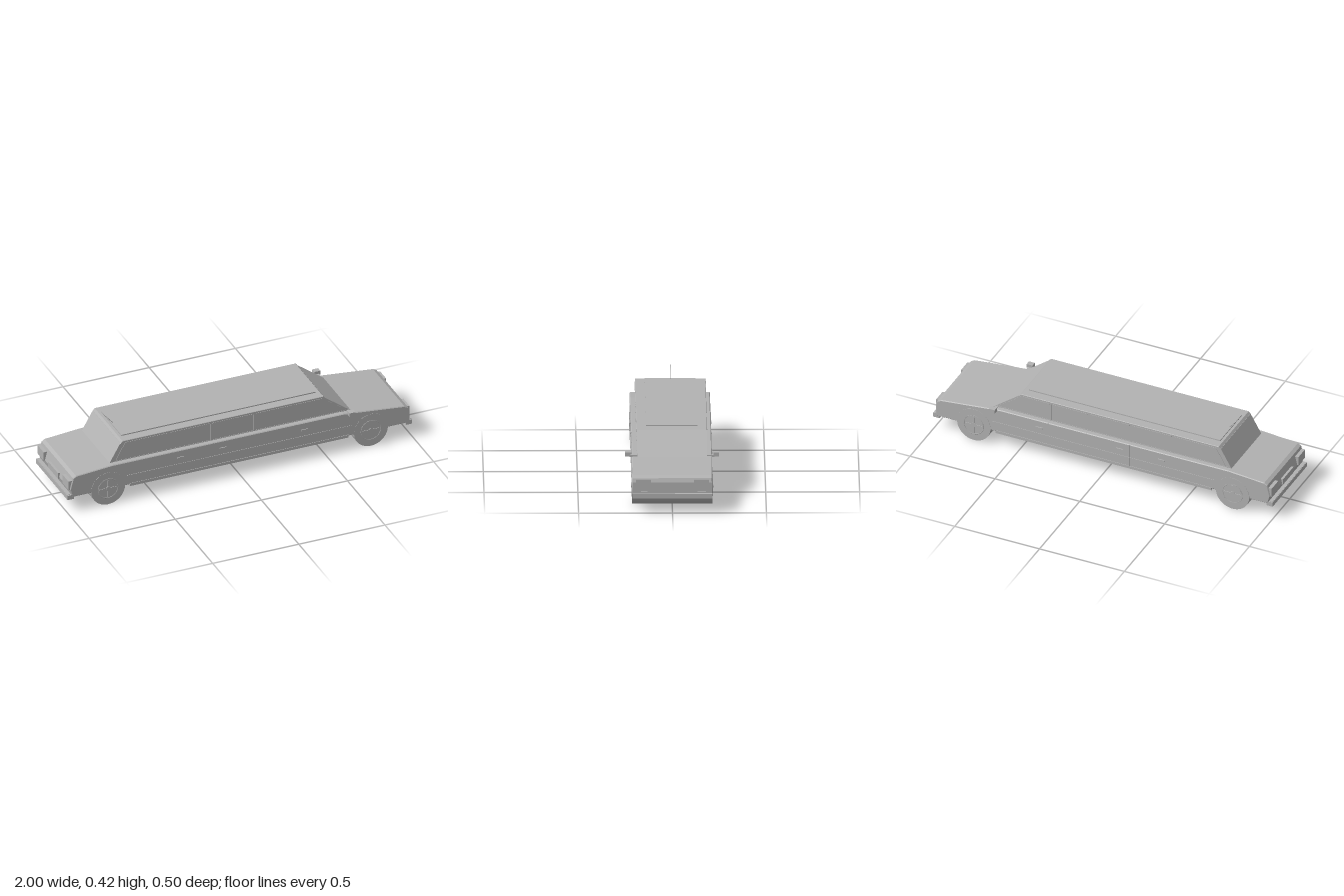
import * as THREE from 'three';

export function createModel() {
  const car = new THREE.Group();
  car.name = 'limousine';
  const paint = new THREE.MeshStandardMaterial({ color: 0xb2b2b2 });
  paint.name = 'grey';

  const add = (name, geometry) => {
    const mesh = new THREE.Mesh(geometry, paint);
    mesh.name = name;
    car.add(mesh);
    return mesh;
  };
  // Box from its limits on each axis
  const box = (name, x0, x1, y0, y1, z0, z1) => {
    const g = new THREE.BoxGeometry(x1 - x0, y1 - y0, Math.abs(z1 - z0));
    return add(name, g.translate((x0 + x1) / 2, (y0 + y1) / 2, (z0 + z1) / 2));
  };
  // Side outline extruded across the car between z0 and z1, with chamfered edges
  const slab = (name, points, z0, z1, chamfer = 0) => {
    const shape = new THREE.Shape(points.map(([x, y]) => new THREE.Vector2(x, y)));
    const g = new THREE.ExtrudeGeometry(shape, {
      depth: z1 - z0 - 2 * chamfer, bevelEnabled: chamfer > 0, bevelSegments: 1,
      bevelSize: chamfer, bevelThickness: chamfer, bevelOffset: -chamfer,
    });
    return add(name, g.translate(0, 0, z0 + chamfer));
  };
  // Thin closed outline standing on a side of the car
  const edge = (name, a, b, z, width = 0.003) => {
    const dx = b[0] - a[0], dy = b[1] - a[1];
    const g = new THREE.BoxGeometry(Math.hypot(dx, dy), width, 0.004);
    g.rotateZ(Math.atan2(dy, dx));
    return add(name, g.translate((a[0] + b[0]) / 2, (a[1] + b[1]) / 2, z));
  };

  // Lower body with trunk and sloping hood
  slab('body', [
    [-0.972, 0.092], [0.985, 0.092], [0.985, 0.165], [0.977, 0.186], [0.955, 0.198],
    [0.65, 0.23], [0.6, 0.234], [-0.74, 0.235], [-0.95, 0.218], [-0.968, 0.207], [-0.985, 0.14],
  ], -0.213, 0.213, 0.004);

  // Cabin, roof and raised roof panel
  slab('cabin', [[-0.75, 0.225], [0.662, 0.225], [0.505, 0.343], [-0.682, 0.343]], -0.185, 0.185);
  slab('roof', [[-0.684, 0.339], [0.508, 0.339], [0.495, 0.355], [-0.67, 0.355]], -0.188, 0.188, 0.002);
  box('roofPanel', -0.655, 0.472, 0.353, 0.361, -0.136, 0.136);

  // Underside sills
  box('floor', -0.63, 0.62, 0.086, 0.095, -0.2, 0.2);

  // Bumpers
  for (const s of [-1, 1]) {
    box('bumper', s > 0 ? 0.963 : -1, s > 0 ? 1 : -0.963, 0.08, 0.106, -0.212, 0.212);
    box('bumperStrip', s * 0.99 - 0.008, s * 0.99 + 0.008, 0.103, 0.108, -0.205, 0.205);
  }

  // Front face
  box('grille', 0.98, 0.992, 0.115, 0.157, -0.09, 0.09);
  box('rearPlate', -0.992, -0.97, 0.13, 0.165, -0.065, 0.065);

  // Full-width axle drums that show as wheels on both sides
  for (const x of [-0.765, 0.76]) {
    const g = new THREE.CylinderGeometry(0.098, 0.098, 0.429, 48);
    add('wheel', g.rotateX(Math.PI / 2).translate(x, 0.099, 0));
  }

  const pillars = [-0.4, -0.155, 0.095, 0.32];
  for (const s of [-1, 1]) {
    // Lamps
    box('headlight', 0.97, 0.991, 0.148, 0.183, s * 0.115, s * 0.195);
    box('indicator', 0.98, 0.988, 0.11, 0.117, s * 0.133, s * 0.178);
    box('taillight', -0.992, -0.962, 0.138, 0.19, s * 0.125, s * 0.207);

    // Rocker and waist trim
    box('rocker', -0.64, 0.63, 0.084, 0.1, s * 0.19, s * 0.216);
    box('sideTrim', -0.655, 0.65, 0.15, 0.154, s * 0.21, s * 0.2155);

    // Window surrounds, pillars and drip rails
    const z = s * 0.185;
    edge('windowSill', [-0.72, 0.238], [0.635, 0.238], z);
    edge('rearPillar', [-0.71, 0.238], [-0.655, 0.338], z);
    edge('frontPillar', [0.63, 0.238], [0.495, 0.338], z);
    const stops = [-0.66, ...pillars, 0.495];
    for (let i = 0; i < 5; i++) {
      box('dripRail', stops[i] + 0.008, stops[i + 1] - 0.008, 0.338, 0.344, s * 0.18, s * 0.19);
    }
    for (const x of pillars) {
      box('pillar', x - 0.003, x + 0.003, 0.235, 0.34, s * 0.18, s * 0.187);
      box('doorSeam', x - 0.001, x + 0.001, 0.1, 0.234, s * 0.21, s * 0.214);
    }

    // Door handles
    for (const x of [-0.345, -0.1, 0.375]) {
      box('doorHandle', x - 0.02, x + 0.02, 0.186, 0.195, s * 0.21, s * 0.218);
    }

    // Wing mirrors
    box('mirror', 0.62, 0.655, 0.231, 0.253, s * 0.22, s * 0.25);
    box('mirrorArm', 0.63, 0.646, 0.227, 0.237, s * 0.18, s * 0.225);

    // Wheel covers: hub, ring and four spokes
    for (const x of [-0.765, 0.76]) {
      const hub = new THREE.CylinderGeometry(0.013, 0.013, 0.006, 16);
      add('hub', hub.rotateX(Math.PI / 2).translate(x, 0.099, s * 0.216));
      add('rim', new THREE.TorusGeometry(0.058, 0.002, 4, 32).translate(x, 0.099, s * 0.2145));
      for (let i = 0; i < 2; i++) {
        const spoke = new THREE.BoxGeometry(0.1, 0.008, 0.004);
        add('spoke', spoke.rotateZ(i * Math.PI / 2).translate(x, 0.099, s * 0.2155));
      }
    }
  }

  // Antenna leaning back from the roof
  const mast = new THREE.CylinderGeometry(0.0008, 0.002, 0.084, 6);
  add('antenna', mast.rotateZ(0.72).translate(-0.673, 0.393, 0));

  return car;
}
